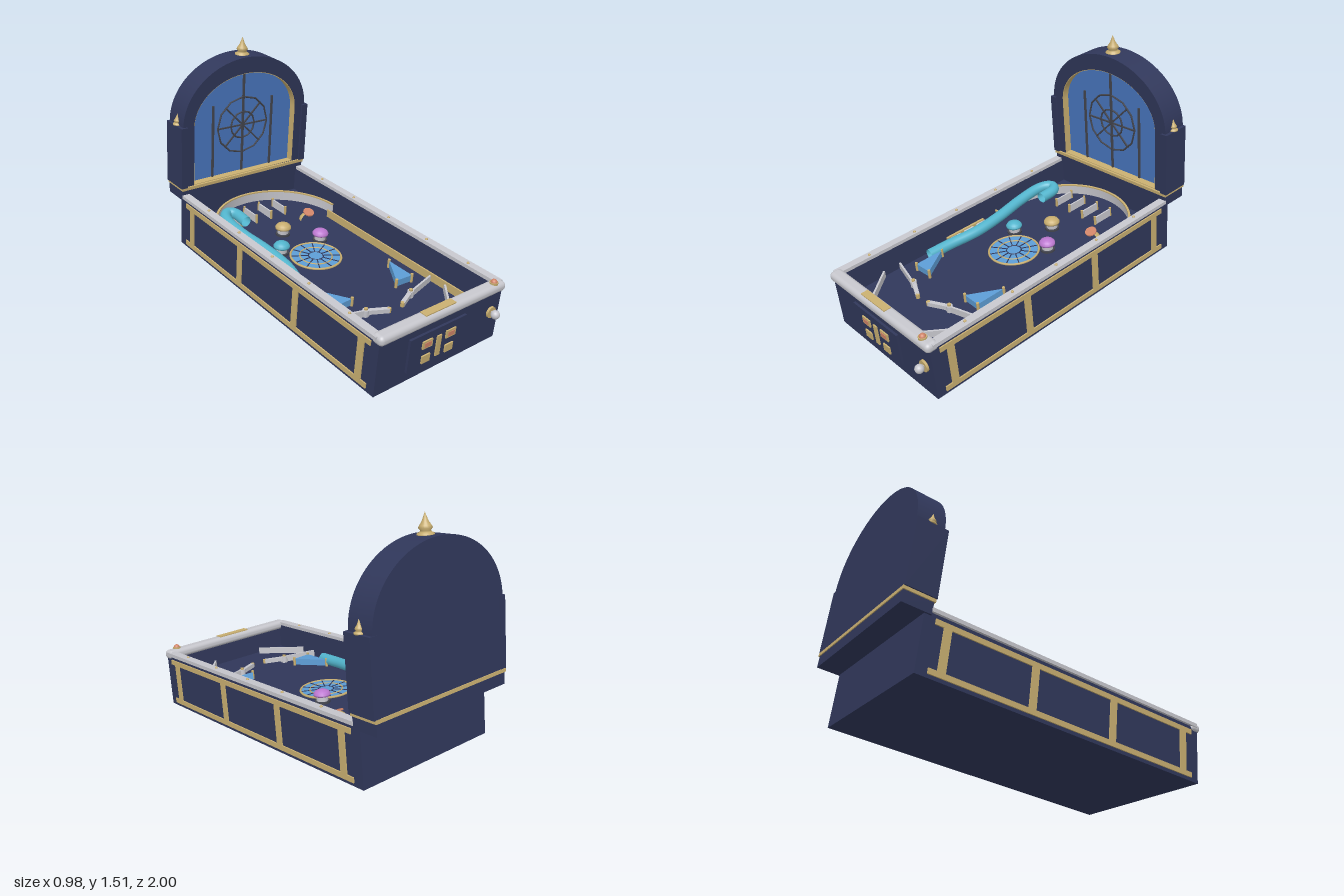
import * as THREE from 'three';
import { toCreasedNormals } from 'three/addons/utils/BufferGeometryUtils.js';
import { RoundedBoxGeometry } from 'three/addons/geometries/RoundedBoxGeometry.js';

const mat = (name, color, side = THREE.FrontSide) => {
  const m = new THREE.MeshStandardMaterial({ color, side });
  m.name = name;
  return m;
};

export function createModel() {
  const navy = mat('navy', 0x30375a), glassBlue = mat('window blue', 0x4a78c2);
  const paleBlue = mat('pale blue', 0x5c9cd4), gold = mat('gold', 0xc8ae70);
  const silver = mat('silver', 0xc6c6cc, THREE.DoubleSide), teal = mat('teal', 0x52b4cc, THREE.DoubleSide);
  const violet = mat('violet', 0xbc78d0), coral = mat('coral', 0xd08468), iron = mat('iron', 0x44464f);

  const model = new THREE.Group();
  model.name = 'pinballTable';
  // everything shares one backward slope
  const table = new THREE.Group();
  table.name = 'slopedTable';
  table.rotation.x = 0.1147;
  table.position.set(0, 0.11, 0.0075);
  model.add(table);

  const add = (parent, name, geo, material, x = 0, y = 0, z = 0) => {
    const m = new THREE.Mesh(geo, material);
    m.name = name;
    m.position.set(x, y, z);
    parent.add(m);
    return m;
  };
  // box given by its min and max on each axis
  const box = (parent, name, material, x0, x1, y0, y1, z0, z1) =>
    add(parent, name, new THREE.BoxGeometry(x1 - x0, y1 - y0, z1 - z0), material,
      (x0 + x1) / 2, (y0 + y1) / 2, (z0 + z1) / 2);
  // upright strip between two floor points
  const strip = (parent, name, material, ax, az, bx, bz, w, h, y = 0) => {
    const m = add(parent, name, new THREE.BoxGeometry(Math.hypot(bx - ax, bz - az), h, w), material,
      (ax + bx) / 2, y + h / 2, (az + bz) / 2);
    m.rotation.y = -Math.atan2(bz - az, bx - ax);
    return m;
  };
  const cyl = (r, h, n = 24, r2 = r) => new THREE.CylinderGeometry(r, r2, h, n);
  const lathe = pts => new THREE.LatheGeometry(pts.map(p => new THREE.Vector2(...p)), 20);

  // ---- cabinet ----
  box(table, 'cabinetBody', navy, -0.46, 0.46, 0, 0.18, -0.92, 0.92);
  for (const s of [-1, 1]) {
    add(table, 'sideWall', new THREE.BoxGeometry(0.035, 0.155, 1.84), navy, s * 0.4425, 0.2575, 0);
    add(table, 'sideRail', new THREE.BoxGeometry(0.05, 0.022, 1.79), silver, s * 0.45, 0.345, 0.01);
    for (let i = 0; i < 5; i++)
      add(table, 'railStud', new THREE.SphereGeometry(0.009, 10, 6), gold, s * 0.445, 0.356, -0.62 + i * 0.325);
    // gold side framing
    for (const y of [0.035, 0.295])
      add(table, 'sideTrim', new THREE.BoxGeometry(0.009, 0.03, 1.72), gold, s * 0.463, y, 0.005);
    for (let i = 0; i < 4; i++)
      add(table, 'sidePost', new THREE.BoxGeometry(0.009, 0.26, 0.045), gold, s * 0.463, 0.165, 0.8 - i * 0.528);
  }
  box(table, 'frontWall', navy, -0.43, 0.43, 0.18, 0.32, 0.885, 0.92);
  box(table, 'backWall', navy, -0.43, 0.43, 0.18, 0.33, -0.92, -0.89);
  add(table, 'lockBar', new RoundedBoxGeometry(0.94, 0.057, 0.078, 4, 0.025), silver, 0, 0.335, 0.903);
  box(table, 'lockBarPlate', gold, -0.15, 0.075, 0.362, 0.368, 0.88, 0.925);
  add(table, 'buttonRing', cyl(0.024, 0.012), gold, 0.393, 0.366, 0.908);
  add(table, 'launchButton', new THREE.SphereGeometry(0.019, 16, 10), coral, 0.393, 0.37, 0.908);

  // ---- coin door ----
  box(table, 'coinDoor', navy, -0.25, 0.17, 0.06, 0.26, 0.92, 0.934);
  for (const s of [-1, 1]) {
    const x = -0.038 + s * 0.087;
    add(table, 'coinSlotPlate', new THREE.BoxGeometry(0.072, 0.046, 0.009), gold, x, 0.197, 0.938);
    add(table, 'coinSlot', new THREE.BoxGeometry(0.046, 0.026, 0.008), coral, x, 0.197, 0.942);
    add(table, 'coinReturn', new THREE.BoxGeometry(0.06, 0.046, 0.009), gold, x, 0.106, 0.938);
  }
  add(table, 'coinDoorBar', new THREE.BoxGeometry(0.032, 0.125, 0.009), gold, -0.038, 0.153, 0.938);

  // ---- plunger ----
  add(table, 'plungerCollar', cyl(0.034, 0.014), gold, 0.39, 0.188, 0.926).rotation.x = Math.PI / 2;
  add(table, 'plungerRod', cyl(0.012, 0.05, 12), silver, 0.39, 0.188, 0.94).rotation.x = Math.PI / 2;
  add(table, 'plungerKnob', new THREE.SphereGeometry(0.026, 18, 12), silver, 0.39, 0.188, 0.957);

  // ---- backbox ----
  const head = new THREE.Group();
  head.name = 'backbox';
  table.add(head);
  const arch = (C, w, y0, spring, h) => {
    const p = new C();
    p.moveTo(-w, y0);
    p.lineTo(w, y0);
    p.lineTo(w, spring);
    p.absellipse(0, spring, w, h, 0, Math.PI, false);
    p.lineTo(-w, y0);
    return p;
  };
  const archSlab = (name, material, shape, z0, z1) => add(head, name, toCreasedNormals(
    new THREE.ExtrudeGeometry(shape, { depth: z1 - z0, bevelEnabled: false, curveSegments: 32 }), 0.5), material, 0, 0, z0);
  const outer = () => arch(THREE.Shape, 0.465, 0.395, 0.8, 0.39);
  archSlab('archBack', navy, outer(), -1.05, -0.945);
  const frame = outer();
  frame.holes.push(arch(THREE.Path, 0.388, 0.405, 0.795, 0.293));
  archSlab('archFrame', navy, frame, -0.945, -0.887);
  const liner = arch(THREE.Shape, 0.388, 0.405, 0.795, 0.293);
  liner.holes.push(arch(THREE.Path, 0.384, 0.409, 0.795, 0.289));
  archSlab('windowLiner', gold, liner, -0.945, -0.89);
  archSlab('windowGlass', glassBlue, arch(THREE.Shape, 0.385, 0.407, 0.795, 0.29), -0.945, -0.937);
  box(head, 'backboxBase', navy, -0.47, 0.47, 0.317, 0.39, -1.05, -0.882);
  box(head, 'goldBand', gold, -0.477, 0.477, 0.385, 0.405, -1.055, -0.876);
  for (const s of [-1, 1])
    add(head, 'sidePillar', new THREE.BoxGeometry(0.044, 0.402, 0.178), navy, s * 0.462, 0.604, -0.963);
  // window tracery
  const tz = -0.933;
  for (const r of [0.19, 0.09])
    add(head, 'roseRing', new THREE.TorusGeometry(r, 0.006, 6, 12), iron, 0, 0.728, tz);
  for (let i = 0; i < 4; i++)
    add(head, 'roseSpoke', new THREE.BoxGeometry(0.38, 0.009, 0.009), iron, 0, 0.728, tz).rotation.z = i * Math.PI / 4;
  box(head, 'centreMullion', iron, -0.007, 0.007, 0.405, 1.083, -0.938, -0.928);
  for (const s of [-1, 1])
    add(head, 'sideMullion', new THREE.BoxGeometry(0.014, 0.485, 0.01), iron, s * 0.225, 0.648, tz);
  // finials
  const finial = lathe([[0, 0], [0.045, 0], [0.045, 0.012], [0.03, 0.02], [0.026, 0.028], [0.036, 0.04],
    [0.03, 0.052], [0.018, 0.07], [0.008, 0.095], [0, 0.118]]);
  add(head, 'topFinial', finial, gold, 0, 1.182, -0.963);
  for (const s of [-1, 1])
    add(head, 'sideFinial', finial, gold, s * 0.462, 0.803, -0.963).scale.setScalar(0.62);

  // ---- playfield ----
  const field = new THREE.Group();
  field.name = 'playfield';
  field.position.set(0, 0.18, -0.029);
  table.add(field);
  // curved wall at the far end
  const band = (r, d) => {
    const s = new THREE.Shape();
    s.absellipse(0, 0, 0.42, 0.425, 0, Math.PI, false);
    s.lineTo(-0.42 + r, 0);
    s.absellipse(0, 0, 0.42 - r, 0.425 - r, Math.PI, 0, true);
    return toCreasedNormals(new THREE.ExtrudeGeometry(s, { depth: d, bevelEnabled: false, curveSegments: 32 })
      .rotateX(-Math.PI / 2), 0.5);
  };
  add(field, 'orbitWall', band(0.01, 0.06), silver, 0, 0, -0.43);
  add(field, 'orbitWallCap', band(0.014, 0.008), gold, 0, 0.06, -0.43);
  // lane dividers
  for (const x of [-0.21, -0.093, 0.022, 0.135]) {
    box(field, 'laneDivider', silver, x - 0.005, x + 0.005, 0, 0.05, -0.72, -0.58);
    for (const z of [-0.72, -0.58]) add(field, 'lanePost', cyl(0.008, 0.058, 10), gold, x, 0.029, z);
  }
  // pop bumpers
  for (const [x, z, m] of [[-0.04, -0.37, gold], [-0.19, -0.185, teal], [0.11, -0.185, violet]]) {
    add(field, 'bumperBase', cyl(0.045, 0.012), iron, x, 0.006, z);
    add(field, 'bumperBody', cyl(0.034, 0.04), silver, x, 0.03, z);
    add(field, 'bumperCap', lathe([[0, 0.04], [0.049, 0.044], [0.05, 0.054], [0.04, 0.068], [0.02, 0.077], [0, 0.08]]), m, x, 0, z);
  }
  // scoop
  const hood = new THREE.SphereGeometry(0.06, 20, 8, 0, Math.PI, 0, Math.PI / 2).rotateY(Math.PI);
  add(field, 'scoopHood', hood.scale(1, 0.75, 1), gold, 0.225, 0, -0.445);
  add(field, 'scoopHole', cyl(0.036, 0.008), coral, 0.225, 0.05, -0.447).rotation.x = 0.35;
  // rose medallion
  const rose = new THREE.Group();
  rose.name = 'medallion';
  rose.position.set(-0.038, 0, -0.042);
  field.add(rose);
  add(rose, 'medallionDisc', cyl(0.155, 0.006, 36), paleBlue, 0, 0.003, 0);
  for (const [r, t, m] of [[0.153, 0.007, gold], [0.098, 0.005, gold], [0.045, 0.004, navy]])
    add(rose, 'medallionRing', new THREE.TorusGeometry(r, t, 6, 36).rotateX(Math.PI / 2), m, 0, 0.005, 0);
  for (let i = 0; i < 12; i++) {
    const a = i * Math.PI / 6;
    strip(rose, 'medallionSpoke', navy, 0.045 * Math.cos(a), 0.045 * Math.sin(a),
      0.15 * Math.cos(a), 0.15 * Math.sin(a), 0.006, 0.004, 0.005);
  }
  // tube ramp
  const path = new THREE.CatmullRomCurve3([[-0.358, 0.035, 0.36], [-0.345, 0.04, 0.2], [-0.312, 0.055, 0.02],
    [-0.318, 0.07, -0.18], [-0.343, 0.085, -0.38], [-0.343, 0.1, -0.54], [-0.318, 0.105, -0.6], [-0.283, 0.105, -0.622],
    [-0.25, 0.102, -0.595], [-0.245, 0.095, -0.48]].map(p => new THREE.Vector3(...p)));
  add(field, 'tubeRamp', new THREE.TubeGeometry(path, 72, 0.034, 16, false), teal);
  // target bank on the left
  box(field, 'targetRail', gold, -0.412, -0.396, 0, 0.05, -0.11, 0.185);
  for (let i = 0; i < 3; i++) {
    const z = -0.065 + i * 0.1;
    box(field, 'target', silver, -0.38, -0.368, 0, 0.055, z - 0.035, z + 0.035);
    box(field, 'targetArm', gold, -0.4, -0.366, 0.035, 0.043, z - 0.05, z - 0.042);
  }
  box(field, 'gateArm', gold, -0.425, -0.36, 0.04, 0.05, -0.238, -0.228);
  // shooter lane
  box(field, 'shooterLaneWall', gold, 0.352, 0.362, 0, 0.05, -0.41, 0.905);
  const coil = new THREE.CatmullRomCurve3(Array.from({ length: 65 }, (_, i) => new THREE.Vector3(
    0.016 * Math.cos(i * Math.PI / 4), 0.03 + 0.016 * Math.sin(i * Math.PI / 4), 0.8 + i * 0.0017)));
  add(field, 'plungerSpring', new THREE.TubeGeometry(coil, 160, 0.003, 5), iron, 0.393);
  add(field, 'plungerShaft', cyl(0.008, 0.13, 10), silver, 0.393, 0.03, 0.85).rotation.x = Math.PI / 2;

  // mirrored lower playfield about its own centre line
  const cx = -0.038;
  for (const s of [-1, 1]) {
    const X = d => cx + s * d;
    const pts = [[0.287, 0.29], [0.287, 0.48], [0.168, 0.475]];
    const tri = new THREE.Shape(pts.map(([d, z]) => new THREE.Vector2(X(d), -z)));
    add(field, 'slingshot', new THREE.ExtrudeGeometry(tri, { depth: 0.04, bevelEnabled: false }).rotateX(-Math.PI / 2), paleBlue, 0, 0.005, 0);
    pts.forEach(([d, z]) => add(field, 'slingshotPost', cyl(0.009, 0.055, 10), gold, X(d), 0.0275, z));
    strip(field, 'inlaneGuide', silver, X(0.383), 0.535, X(0.15), 0.598, 0.012, 0.04);
    strip(field, 'apronGuide', silver, X(0.383), 0.65, X(0.18), 0.89, 0.012, 0.04);
    strip(field, 'flipper', silver, X(0.17), 0.588, X(0.05), 0.645, 0.024, 0.026, 0.012);
    add(field, 'flipperHub', cyl(0.019, 0.04, 16), silver, X(0.17), 0.02, 0.588);
    add(field, 'flipperPivot', cyl(0.011, 0.05, 12), gold, X(0.17), 0.025, 0.588);
    add(field, 'flipperTip', cyl(0.012, 0.026, 12), gold, X(0.05), 0.025, 0.645);
  }
  return model;
}
